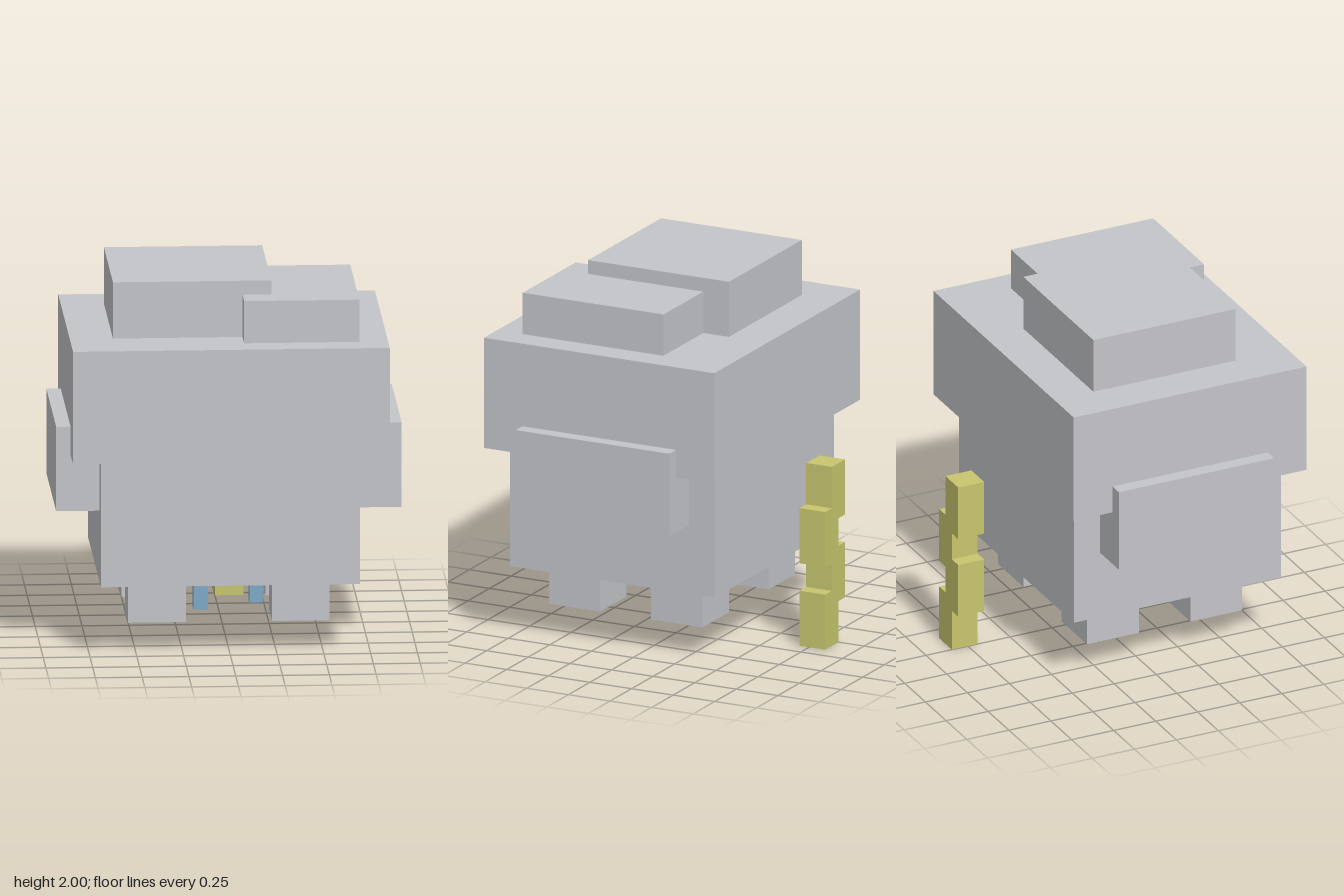
import * as THREE from 'three';

const U = 1 / 13; // one block unit

export function createModel() {
  const model = new THREE.Group();
  const mat = (name, color) => {
    const m = new THREE.MeshStandardMaterial({ color });
    m.name = name;
    return m;
  };
  const grey = mat('pale grey', 0xc4c5c9);
  const yellow = mat('straw yellow', 0xc8c66e);
  const blue = mat('soft blue', 0x7ea9c6);

  // Box between two corners, given in block units
  const box = (name, material, x0, x1, y0, y1, z0, z1) => {
    const geo = new THREE.BoxGeometry((x1 - x0) * U, (y1 - y0) * U, (z1 - z0) * U);
    const mesh = new THREE.Mesh(geo, material);
    mesh.position.set((x0 + x1) / 2 * U, (y0 + y1) / 2 * U, (z0 + z1) / 2 * U);
    mesh.name = name;
    model.add(mesh);
  };

  // Stacked body blocks
  box('lowerBody', grey, -9, 9, 5, 14, -6, 10);
  box('upperBody', grey, -11, 11, 14, 22, -7, 11);
  box('tallTopBlock', grey, -8, 3, 22, 26, -4, 7);
  box('lowTopBlock', grey, 1, 9, 22, 25, -2, 9);

  // Side slabs and feet
  for (const [side, s] of [['left', 1], ['right', -1]]) {
    box(side + 'SideSlab', grey, s * 10.5 - 1.5, s * 10.5 + 1.5, 10, 16, -4, 8);
    box(side + 'FrontFoot', grey, s * 5 - 2, s * 5 + 2, 2, 5, 4, 8);
    box(side + 'BackFoot', grey, s * 5 - 2, s * 5 + 2, 2, 5, -4, 0);
  }

  // Small pegs under the belly
  for (const [x, z] of [[-2, 8], [2, 6], [2, 0]]) {
    box('bellyPeg', blue, x - 0.5, x + 0.5, 3, 5, z - 0.5, z + 0.5);
  }

  // Zigzag tail floating behind the body
  const outline = [
    [0, 0], [2, 0], [2, 4], [1, 4], [1, 6], [2, 6], [2, 10], [1, 10],
    [1, 13], [-1, 13], [-1, 9], [0, 9], [0, 7], [-1, 7], [-1, 3], [0, 3],
  ].map(([x, y]) => new THREE.Vector2(x * U, y * U));
  const tail = new THREE.Mesh(
    new THREE.ExtrudeGeometry(new THREE.Shape(outline), { depth: 2 * U, bevelEnabled: false }),
    yellow
  );
  tail.position.z = -11 * U;
  tail.name = 'zigzagTail';
  model.add(tail);

  return model;
}
